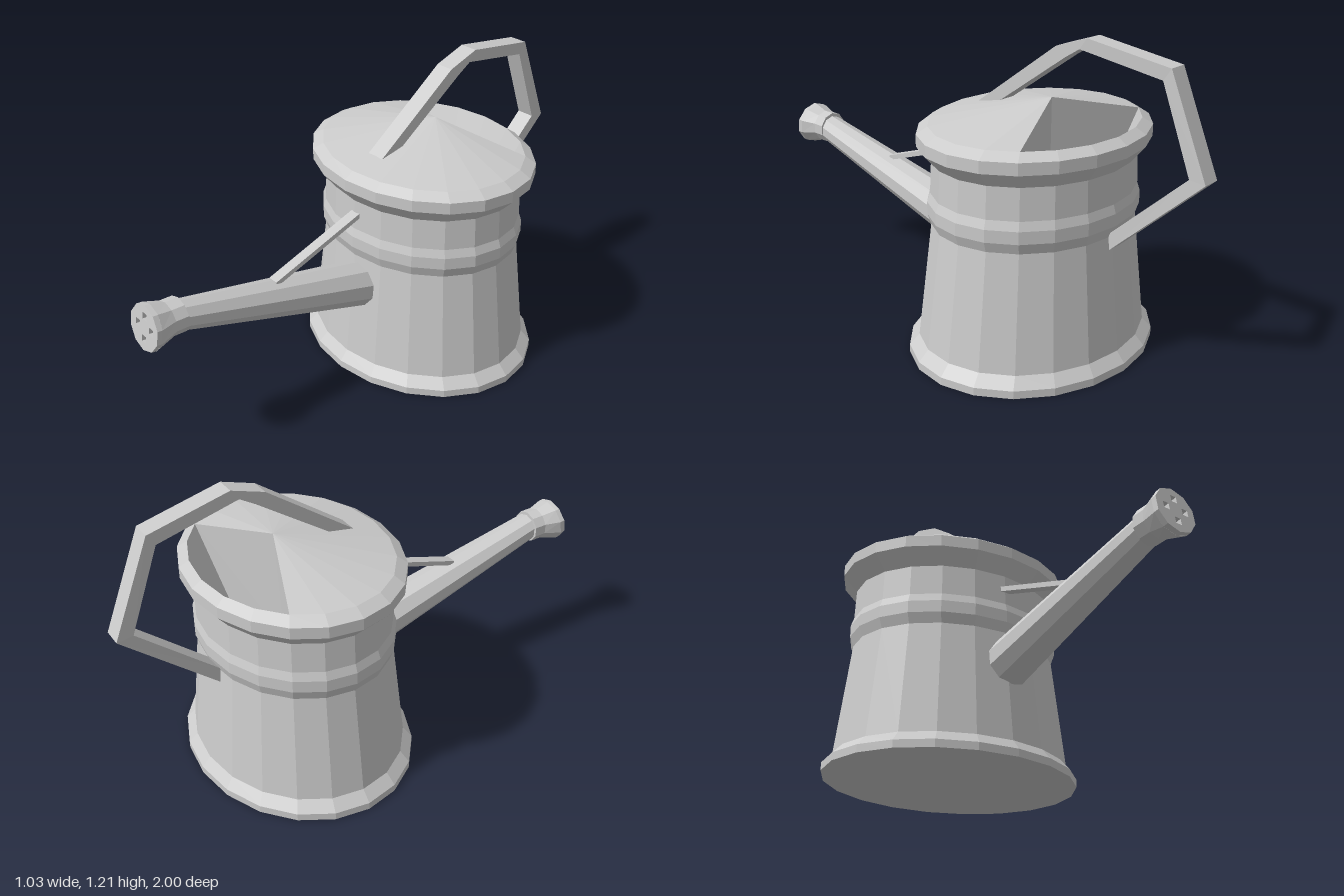
import * as THREE from 'three';

const material = new THREE.MeshStandardMaterial({ color: 0xcccccc, flatShading: true, side: THREE.DoubleSide });

// Joins cross-section rings (arrays of [x, y, z]) into a skin, optionally capped at either end.
function loft(name, rings, capStart = true, capEnd = true) {
  const n = rings[0].length;
  const position = [];
  const tri = (a, b, c) => position.push(...a, ...b, ...c);
  for (let r = 0; r < rings.length - 1; r++) {
    const lower = rings[r], upper = rings[r + 1];
    for (let i = 0; i < n; i++) {
      const j = (i + 1) % n;
      tri(lower[i], lower[j], upper[i]);
      tri(lower[j], upper[j], upper[i]);
    }
  }
  const first = rings[0], last = rings[rings.length - 1];
  for (let i = 1; i < n - 1; i++) {
    if (capStart) tri(first[0], first[i + 1], first[i]);
    if (capEnd) tri(last[0], last[i], last[i + 1]);
  }
  return finish(name, position);
}

function finish(name, position) {
  const geometry = new THREE.BufferGeometry();
  geometry.setAttribute('position', new THREE.Float32BufferAttribute(position, 3));
  geometry.computeVertexNormals();
  const mesh = new THREE.Mesh(geometry, material);
  mesh.name = name;
  return mesh;
}

// Horizontal oval ring of the body
const SIDES = 20, CENTER_Z = -0.29;
const oval = (rx, y) => Array.from({ length: SIDES }, (_, i) => {
  const t = (i / SIDES) * Math.PI * 2;
  return [rx * Math.sin(t), y, CENTER_Z + rx * 0.835 * Math.cos(t)];
});

// Upright ring of the spout; lean tips its plane back
const spoutRing = (x, y, z, r, lean = 0) => Array.from({ length: 10 }, (_, i) => {
  const t = ((i + 0.5) / 10) * Math.PI * 2;
  return [x + r * Math.cos(t), y + r * Math.sin(t), z - lean * r * Math.sin(t)];
});

export function createModel() {
  const group = new THREE.Group();

  // Oval body with foot, raised band and flared collar
  const profile = [
    [0.515, 0], [0.515, 0.03], [0.475, 0.07], [0.42, 0.51], [0.435, 0.55],
    [0.435, 0.597], [0.423, 0.63], [0.418, 0.75], [0.475, 0.81], [0.475, 0.855], [0.43, 0.88],
  ];
  group.add(loft('body', profile.map(([r, y]) => oval(r, y)), true, false));

  // Conical lid, open across the back
  const rim = oval(0.43, 0.88);
  const apex = [0, 0.967, -0.36];
  const lid = [];
  for (let i = 13; i < 27; i++) {
    lid.push(...apex, ...rim[i % SIDES], ...rim[(i + 1) % SIDES]);
  }
  group.add(finish('lid', lid));

  // Sunken filling hole, narrowing towards its floor
  const mouth = [apex, ...rim.slice(7, 14)];
  const floor = mouth.map(([x, , z]) => [x * 0.58, 0.55, -0.36 + (z + 0.36) * 0.55]);
  group.add(loft('fillingHole', [mouth, floor], false, true));

  // Tapered spout
  group.add(loft('spout', [
    spoutRing(0.017, 0.37, 0.0, 0.098),
    spoutRing(-0.008, 0.6, 0.87, 0.057),
  ]));

  // Flared sprinkler head with a pierced face plate
  const lean = 0.15;
  group.add(loft('sprinklerHead', [
    spoutRing(-0.01, 0.6, 0.85, 0.066),
    spoutRing(-0.012, 0.601, 0.9, 0.066),
    spoutRing(-0.015, 0.598, 0.968, 0.087, lean),
  ]));
  const disc = new THREE.Shape(spoutRing(0, 0, 0, 0.087).map(([x, y]) => new THREE.Vector2(x, y)));
  for (const [x, y] of [[0.002, 0.045], [0.043, 0.005], [-0.04, 0.005], [0.002, -0.042]]) {
    const s = 0.0125;
    disc.holes.push(new THREE.Path([[-s, -s], [-s, s], [s, s], [s, -s]]
      .map(([dx, dy]) => new THREE.Vector2(x + dx, y + dy))));
  }
  const plate = new THREE.Mesh(new THREE.ExtrudeGeometry(disc, { depth: 0.02, bevelEnabled: false }), material);
  plate.name = 'sprinklerFace';
  plate.position.set(-0.015, 0.598, 0.968);
  plate.rotation.x = -Math.atan(lean);
  group.add(plate);

  // Thin brace from the body down to the spout
  const braceEnd = (y, z) => [[0.024, y - 0.01, z], [0.024, y + 0.01, z], [-0.019, y + 0.01, z], [-0.019, y - 0.01, z]];
  group.add(loft('spoutBrace', [braceEnd(0.697, 0.04), braceEnd(0.558, 0.46)]));

  // Angular handle: outer z, y, inner z, y and sideways shift at each bend
  const bends = [
    [-0.035, 0.895, -0.11, 0.895, 0],
    [-0.4, 1.165, -0.44, 1.13, 0],
    [-0.53, 1.21, -0.5, 1.168, 0],
    [-0.85, 1.155, -0.82, 1.11, -0.022],
    [-1, 0.79, -0.938, 0.797, -0.025],
    [-0.635, 0.455, -0.635, 0.52, -0.02],
  ];
  const w = 0.037;
  group.add(loft('handle', bends.map(([oz, oy, iz, iy, x]) => [
    [x - w, oy, oz], [x + w, oy, oz], [x + w, iy, iz], [x - w, iy, iz],
  ])));

  return group;
}
